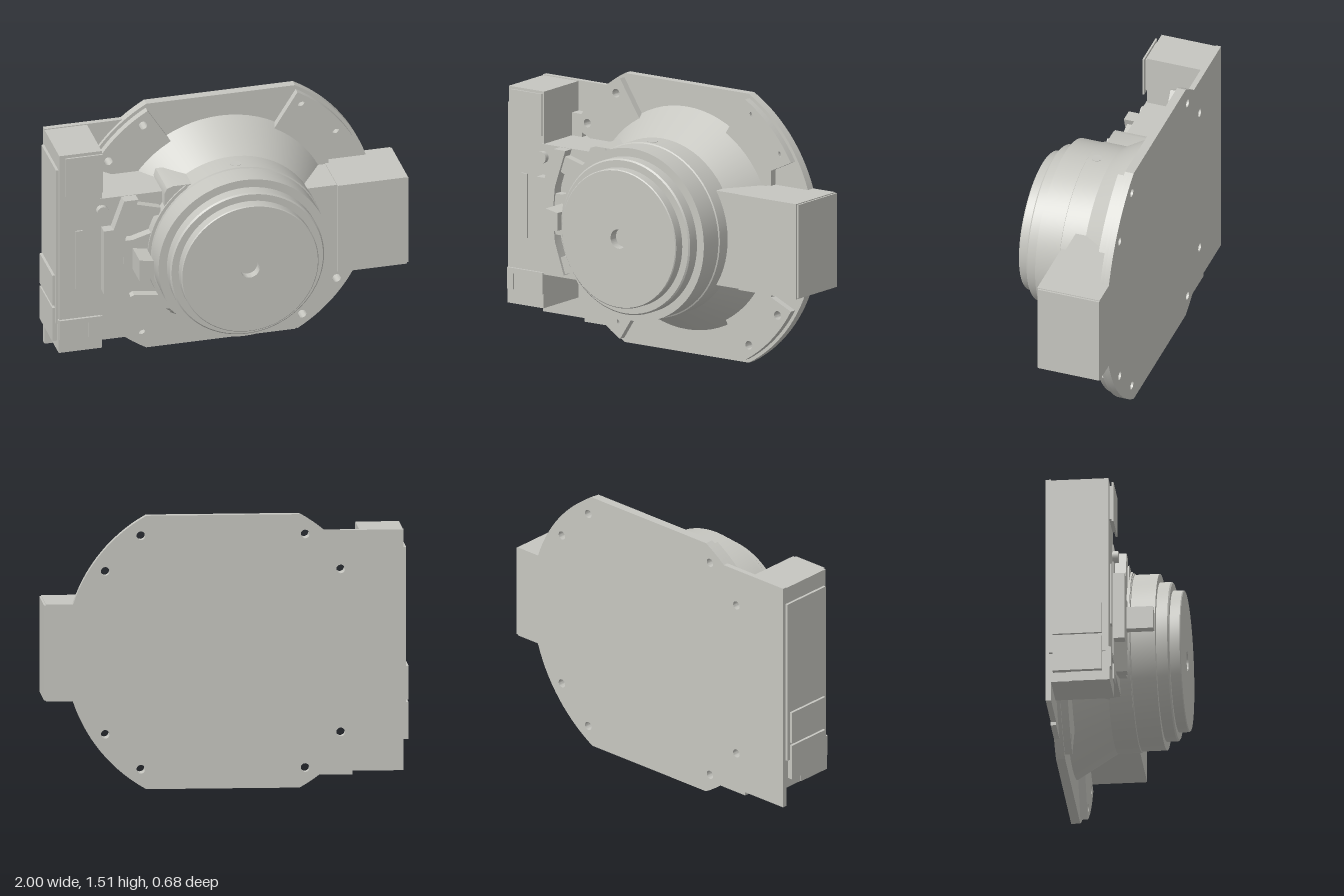
import * as THREE from 'three';
import { toCreasedNormals } from 'three/addons/utils/BufferGeometryUtils.js';

const CX = 0.02, CY = 0.755; // axis of the drum

export function createModel() {
  const model = new THREE.Group();
  const grey = new THREE.MeshStandardMaterial({ color: 0xc6c6c0 });
  grey.name = 'warm grey';

  const add = (name, geometry) => {
    const mesh = new THREE.Mesh(geometry, grey);
    mesh.name = name;
    model.add(mesh);
    return mesh;
  };
  // box given by its limits on each axis
  const box = (name, x0, x1, y0, y1, z0, z1) => {
    const m = add(name, new THREE.BoxGeometry(x1 - x0, y1 - y0, z1 - z0));
    m.position.set((x0 + x1) / 2, (y0 + y1) / 2, (z0 + z1) / 2);
    return m;
  };
  // flat outline in x,y pushed from z0 to z1, with round holes
  const slab = (name, pts, z0, z1, holes = []) => {
    const shape = new THREE.Shape(pts.map(([x, y]) => new THREE.Vector2(x, y)));
    for (const [x, y] of holes) {
      shape.holes.push(new THREE.Path().absarc(x, y, 0.024, 0, Math.PI * 2, true));
    }
    const g = new THREE.ExtrudeGeometry(shape, { depth: z1 - z0, bevelEnabled: false, curveSegments: 10 });
    g.translate(0, 0, z0);
    return add(name, toCreasedNormals(g, 0.5));
  };
  // points on an arc about the drum axis, angles in degrees
  const arc = (r, a0, a1, n = 16, sx = 1, sy = 1) =>
    Array.from({ length: n + 1 }, (_, i) => {
      const a = THREE.MathUtils.degToRad(a0 + (a1 - a0) * i / n);
      return [CX + sx * r * Math.cos(a), CY + sy * r * Math.sin(a)];
    });

  // base: thin sheet with the side extension, then the round flange with flats
  const holes = [];
  for (const sx of [-1, 1]) for (const sy of [-1, 1]) {
    holes.push([CX + sx * 0.45, CY + sy * 0.645], [CX + sx * 0.645, CY + sy * 0.45]);
  }
  const R = 0.864, flat = 60.9;
  slab('backSheet', [
    ...arc(R, -flat, flat, 40), ...arc(R, 180 - flat, 129.7, 4),
    [-0.97, 1.42], [-0.97, 0.09], [-0.69, 0.09], [-0.69, 0.07],
    ...arc(R, 232.4, 180 + flat, 4),
  ], -0.34, -0.31, holes);
  slab('flange', [...arc(R, -flat, flat, 40), ...arc(R, 180 - flat, 180 + flat, 40)], -0.31, -0.29, holes);

  // four raised mounting pads
  for (const sx of [-1, 1]) for (const sy of [-1, 1]) {
    const p = (x, y) => [CX + sx * x, CY + sy * y];
    slab('mountingPad', [
      ...arc(0.845, 59.9, 29.6, 12, sx, sy),
      p(0.6, 0.355), p(0.6, 0.26), p(0.45, 0.26), p(0.28, 0.505),
    ], -0.29, -0.25, [p(0.45, 0.645), p(0.645, 0.45)]);
  }
  box('padExtension', -0.74, -0.66, 1.12, 1.25, -0.31, -0.25);

  // cone and stepped drum with a blind centre hole
  const profile = [
    [0.625, -0.29], [0.49, -0.06], [0.49, 0.072], [0.483, 0.076], [0.483, 0.21],
    [0.436, 0.21], [0.436, 0.272], [0.428, 0.28], [0.388, 0.28], [0.388, 0.335],
    [0.383, 0.34], [0.054, 0.34], [0.054, 0.29], [0, 0.29],
  ].map(([r, z]) => new THREE.Vector2(r, z));
  const drum = new THREE.LatheGeometry(profile, 72);
  drum.rotateX(Math.PI / 2);
  add('drum', toCreasedNormals(drum, 0.4)).position.set(CX, CY, 0);
  const port = add('drumPort', new THREE.CylinderGeometry(0.03, 0.03, 0.008, 20));
  port.position.set(CX, CY + 0.487, 0.025);

  // side arm
  box('armRoot', 0.3, 0.6, 0.49, 1.02, -0.335, 0.0);
  box('armBox', 0.6, 0.99, 0.49, 1.025, -0.34, 0.022);
  box('armEndPlate', 0.99, 1.0, 0.495, 1.02, -0.34, 0.015);

  // control housing
  box('housingBody', -0.97, -0.73, 0.2, 1.415, -0.32, 0.005);
  box('housingBridge', -0.74, -0.25, 0.39, 1.122, -0.3, 0.01);
  box('upperCover', -0.94, -0.73, 1.17, 1.405, 0.02, 0.03);
  box('upperCoverSpacer', -0.92, -0.75, 1.19, 1.39, 0.0, 0.022);
  box('lowerCover', -0.975, -0.73, 0.2, 0.4, -0.2, 0.012);
  slab('lowerClip', [
    [-0.97, 0.28], [-0.93, 0.28], [-0.93, 0.37], [-0.81, 0.37], [-0.81, 0.28],
    [-0.73, 0.28], [-0.73, 0.4], [-0.97, 0.4],
  ], 0.012, 0.02);
  box('slotPlate', -0.88, -0.84, 0.58, 0.94, 0.0, 0.014);
  box('sidePanel', -0.985, -0.97, 0.37, 1.32, -0.32, -0.01);
  for (const [y0, y1] of [[0.255, 0.46], [0.475, 0.66]]) {
    box('sideDoor', -1.0, -0.97, y0, y1, -0.3, -0.03);
  }

  // guard plate, shoulder and clamp ring between housing and drum
  slab('guardPlate', [
    [-0.62, 1.12], [-0.68, 0.95], [-0.735, 0.95], [-0.735, 0.56], [-0.68, 0.56],
    [-0.6, 0.42], [-0.55, 0.42], [-0.61, 0.6], [-0.625, 0.755], [-0.61, 0.91], [-0.54, 1.12],
  ], 0.01, 0.07);
  slab('shoulder', [
    [-0.39, 0.95], [-0.39, 1.13], [-0.375, 1.16], [-0.34, 1.172], [-0.15, 1.172], [-0.15, 0.95],
  ], -0.2, 0.06);
  slab('clampRing', [...arc(0.508, 125, 235, 24), ...arc(0.47, 235, 125, 24)], -0.05, 0.07);

  // gripping jaws
  for (const s of [-1, 1]) {
    const jaw = [[-0.6, 0.25], [-0.57, 0.335], [-0.41, 0.29], [-0.41, 0.25], [-0.56, 0.23]];
    slab('jaw', jaw.map(([x, y]) => [x, CY + s * y]), 0.01, 0.055);
  }
  slab('centreJaw', [[-0.57, 0.64], [-0.465, 0.61], [-0.465, 0.9], [-0.57, 0.87], [-0.62, 0.87], [-0.62, 0.64]], 0.01, 0.06);
  slab('centreKey', [[-0.57, 0.69], [-0.49, 0.705], [-0.49, 0.805], [-0.57, 0.82]], 0.06, 0.21);

  // adjusting screw
  const screw = add('screw', new THREE.CylinderGeometry(0.033, 0.033, 0.05, 20));
  screw.rotation.x = Math.PI / 2;
  screw.position.set(-0.73, 1.05, 0.012);

  return model;
}
